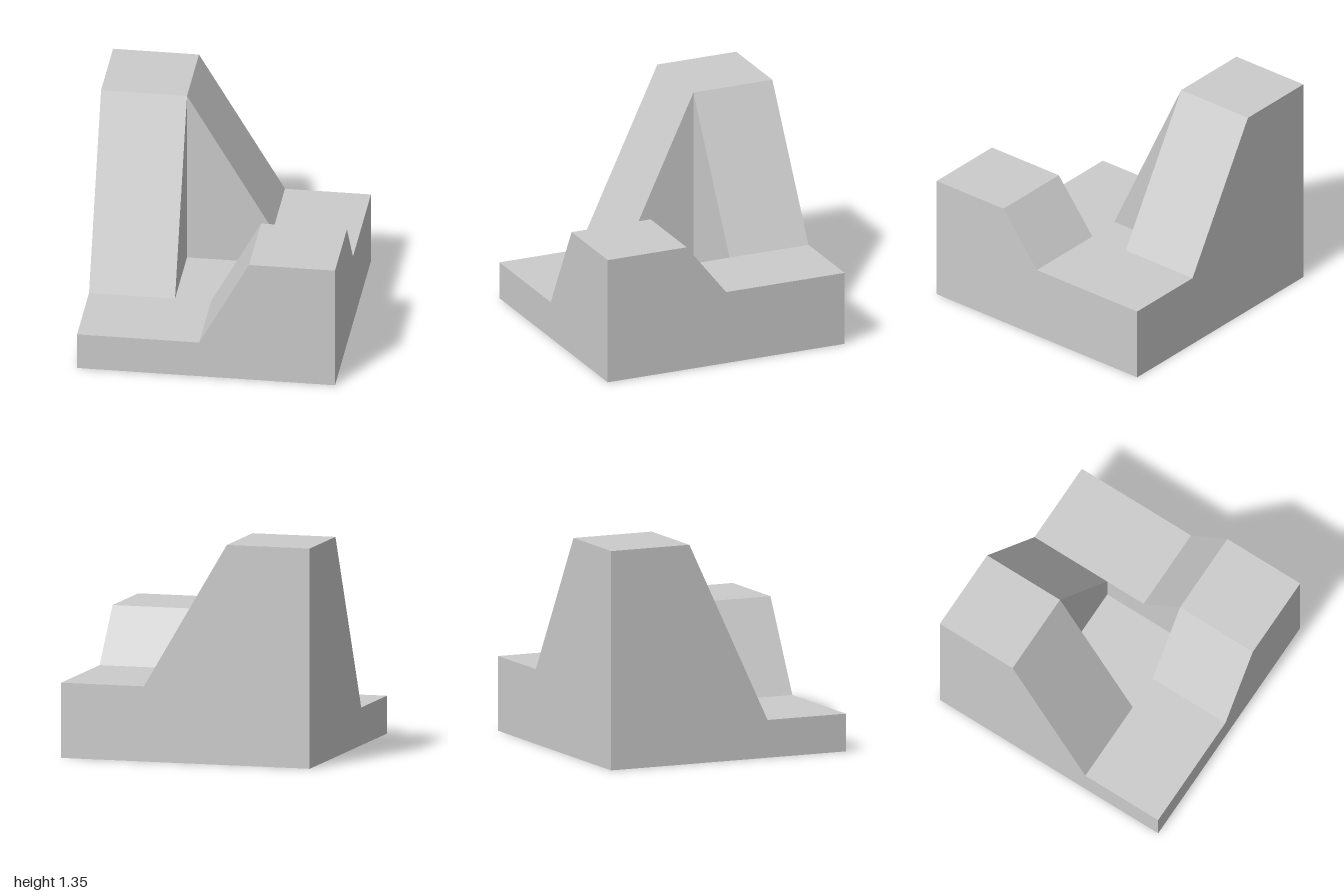
import * as THREE from 'three';

const CELL = 0.526; // the square plan is three cells wide
const FLOOR = 0.232, TERRACE = 0.46, BLOCK = 0.792, TOWER = 1.348;
const FOOT = 1.42;  // foot of the low block's ramp

// Plan lines along both sides of the square
const US = [0, 1, FOOT, 2, 3];
const VS = [0, 1, 1.5, 2, 3];

// Regions of the plan: name, u range, v range, height rule
const lerp = THREE.MathUtils.lerp;
const parts = [
  { name: 'tower', u: [0, 1], v: [0, 1], h: () => TOWER },
  { name: 'towerSideRamp', u: [1, 2], v: [0, 1], h: (u) => lerp(TOWER, TERRACE, u - 1) },
  { name: 'towerFrontRamp', u: [0, 1], v: [1, 2], h: (u, v) => lerp(TOWER, FLOOR, v - 1) },
  { name: 'backTerrace', u: [2, 3], v: [0, 1.5], h: () => TERRACE },
  { name: 'terraceRamp', u: [2, 3], v: [1.5, 2], h: (u, v) => lerp(TERRACE, BLOCK, (v - 1.5) * 2) },
  { name: 'lowBlock', u: [2, 3], v: [2, 3], h: () => BLOCK },
  { name: 'lowBlockRamp', u: [FOOT, 2], v: [2, 3], h: (u) => lerp(FLOOR, BLOCK, (u - FOOT) / (2 - FOOT)) },
  { name: 'floor', u: [0, 3], v: [0, 3], h: () => FLOOR }, // whatever is left
];
const outside = { h: () => 0 };

const partAt = (u, v) =>
  parts.find((p) => u > p.u[0] && u < p.u[1] && v > p.v[0] && v < p.v[1]) || outside;

// Adds a quad as two triangles, leaving out any of zero area
function addQuad(out, a, b, c, d) {
  for (const t of [[a, b, c], [a, c, d]]) {
    if (new THREE.Triangle(...t).getArea() > 1e-6) t.forEach((p) => out.push(p));
  }
}

const point = ([u, v], y) => new THREE.Vector3((u - 1.5) * CELL, y, (v - 1.5) * CELL);

export function createModel() {
  const group = new THREE.Group();
  const material = new THREE.MeshStandardMaterial({ color: 0xcccccc, flatShading: true });
  const surfaces = new Map(parts.map((p) => [p, []]));

  for (let i = 0; i < 4; i++) {
    for (let j = 0; j < 4; j++) {
      const [u0, u1, v0, v1] = [US[i], US[i + 1], VS[j], VS[j + 1]];
      const mid = [(u0 + u1) / 2, (v0 + v1) / 2];
      const part = partAt(...mid);
      const out = surfaces.get(part);
      const corners = [[u0, v0], [u0, v1], [u1, v1], [u1, v0]];

      // Top and underside
      addQuad(out, ...corners.map((c) => point(c, part.h(...c))));
      addQuad(out, ...corners.map((c) => point(c, 0)).reverse());

      // Upright walls wherever the neighbour is lower
      corners.forEach((p, k) => {
        const q = corners[(k + 1) % 4];
        const beyond = [0, 1].map((n) => (p[n] + q[n]) / 2 + Math.sign(p[n] + q[n] - 2 * mid[n]) * 0.01);
        const next = partAt(...beyond);
        const lowP = Math.min(next.h(...p), part.h(...p));
        const lowQ = Math.min(next.h(...q), part.h(...q));
        addQuad(out, point(p, lowP), point(q, lowQ), point(q, part.h(...q)), point(p, part.h(...p)));
      });
    }
  }

  for (const [part, points] of surfaces) {
    const geometry = new THREE.BufferGeometry().setFromPoints(points);
    geometry.computeVertexNormals();
    const mesh = new THREE.Mesh(geometry, material);
    mesh.name = part.name;
    group.add(mesh);
  }

  // The square stands turned on its spot
  group.rotation.y = Math.atan2(0.505, 1.495);
  group.name = 'steppedBlock';
  return group;
}
